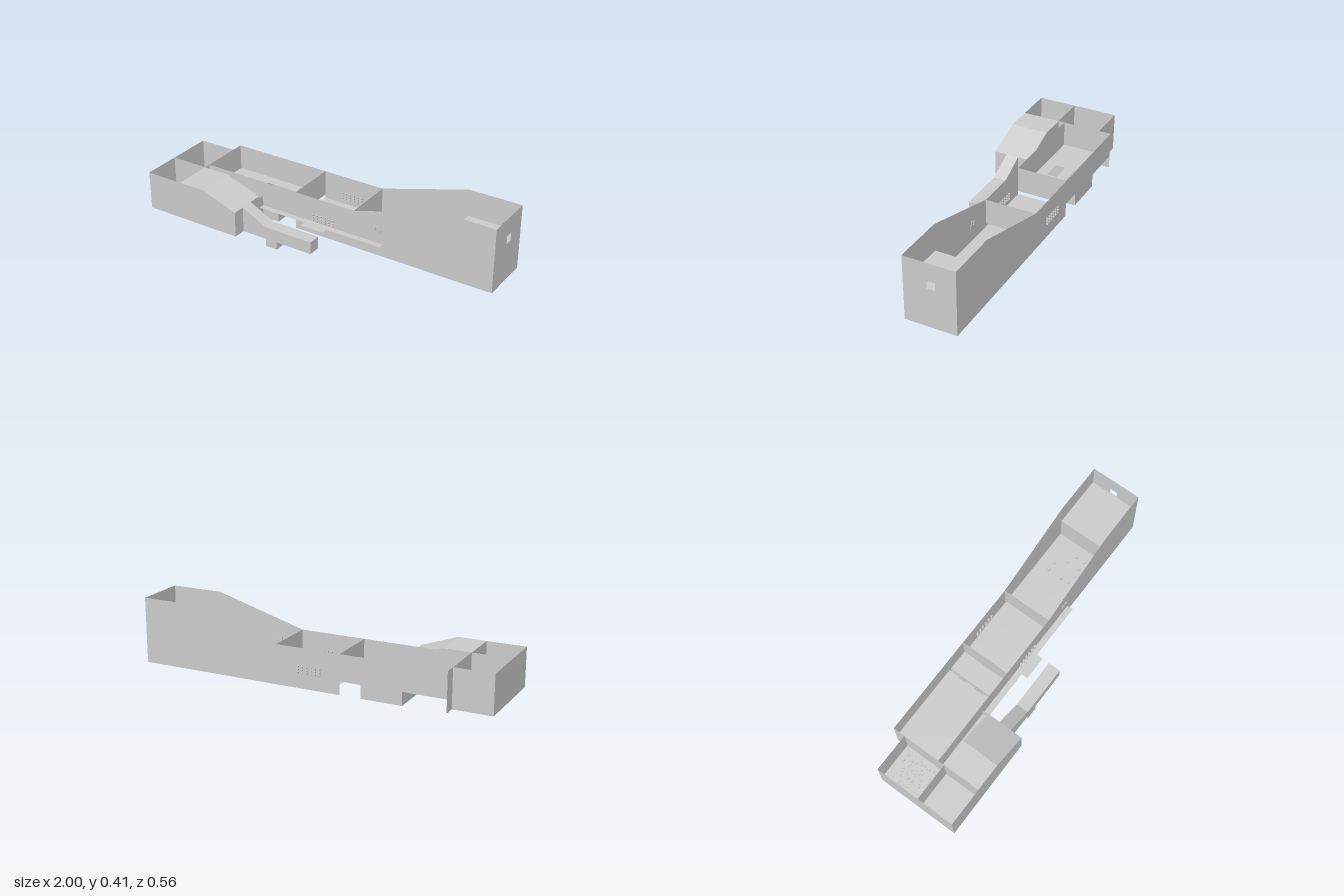
import * as THREE from 'three';

export function createModel() {
  const root = new THREE.Group();
  const mat = new THREE.MeshStandardMaterial({ color: 0xcccccc, side: THREE.DoubleSide, flatShading: true });
  const add = (name, geo) => {
    const mesh = new THREE.Mesh(geo, mat);
    mesh.name = name;
    root.add(mesh);
    return mesh;
  };
  const shapeOf = pts => new THREE.Shape(pts.map(p => new THREE.Vector2(p[0], p[1])));

  // Thin sheets: upright along x, upright along z, and level
  const sideWall = (name, pts, z) => add(name, new THREE.ShapeGeometry(shapeOf(pts)).translate(0, 0, z));
  const crossWall = (name, x, z0, z1, y0, y1) => {
    const g = new THREE.PlaneGeometry(z1 - z0, y1 - y0).rotateY(Math.PI / 2);
    return add(name, g.translate(x, (y0 + y1) / 2, (z0 + z1) / 2));
  };
  const deck = (name, x0, x1, z0, z1, y0, y1 = y0) => {
    const g = new THREE.BufferGeometry();
    g.setAttribute('position', new THREE.Float32BufferAttribute(
      [x0, y0, z0, x0, y0, z1, x1, y1, z1, x1, y1, z0], 3));
    g.setIndex([0, 1, 2, 0, 2, 3]);
    g.computeVertexNormals();
    return add(name, g);
  };
  const bolt = (x, y, z, sx, sy, sz) => add('bolt', new THREE.BoxGeometry(sx, sy, sz).translate(x, y, z));

  const B = 0.045, T = 0.267, H = 0.415, F = 0.12;
  const zBack = -0.27, zFront = 0.022, zPod = 0.06, zOuter = 0.28;

  // Long hull: two matching side walls with a notched lower edge
  const hull = [[-0.78, T], [-0.78, F], [-0.54, F], [-0.54, B], [-0.31, B], [-0.31, F],
    [-0.19, F], [-0.19, B], [1, B], [1, H], [0.7, H], [0.18, T]];
  sideWall('hullBackWall', hull, zBack);
  sideWall('hullFrontWall', hull, zFront);

  // Tall end wall with a square window
  const end = shapeOf([[-zFront, B], [-zBack, B], [-zBack, H], [-zFront, H]]);
  end.holes.push(new THREE.Path([[0.11, 0.267], [0.11, 0.312], [0.155, 0.312], [0.155, 0.267]]
    .map(p => new THREE.Vector2(p[0], p[1]))));
  add('endWall', new THREE.ShapeGeometry(end).rotateY(Math.PI / 2).translate(1, 0, 0));

  // Hull partitions, floors and the raised shelf
  for (const x of [-0.19, 0.18]) crossWall('partition', x, zBack, zFront, F, T);
  crossWall('rearPartition', -0.78, zBack, zOuter, B, T);
  crossWall('shelfRiser', 0.7, zBack, zFront, 0.1, 0.26);
  deck('shelf', 0.7, 1, zBack, zFront, 0.26);
  deck('hullFloor', -0.19, 0.7, zBack, zFront, 0.1);
  deck('rearFloor', -0.78, -0.54, zBack, zPod, F);
  deck('notchFloor', -0.31, -0.19, zBack, zFront, F);

  // Sunken bay with raised ribs
  deck('bayFloor', -0.54, -0.31, zBack, zFront, B);
  for (const x of [-0.54, -0.31]) crossWall('bayWall', x, zBack, zFront, B, F);
  for (const [z0, z1] of [[zBack, -0.205], [-0.16, -0.1], [-0.04, zFront]])
    deck('bayRib', -0.54, -0.32, z0, z1, F);

  // Rear box with a divider
  const panel = (x0, x1) => [[x0, B], [x1, B], [x1, T], [x0, T]];
  sideWall('rearBoxBackWall', panel(-1, -0.78), -0.2);
  sideWall('rearBoxDivider', panel(-1, -0.78), zPod);
  sideWall('rearBoxFrontWall', panel(-1, -0.78), zOuter);
  crossWall('rearBoxEnd', -1, -0.2, zOuter, B, T);
  deck('rearBoxFloor', -1, -0.78, -0.2, zOuter, 0.085);

  // Side pod with a sloping nose
  const pod = [[-0.78, B], [-0.41, B], [-0.41, 0.192], [-0.62, T], [-0.78, T]];
  for (const z of [zPod, zOuter]) sideWall('podWall', pod, z);
  deck('podTop', -0.78, -0.62, zPod, zOuter, T);
  deck('podSlope', -0.62, -0.41, zPod, zOuter, T, 0.192);
  deck('podFloor', -0.78, -0.41, zPod, zOuter, B);
  crossWall('podNose', -0.41, zPod, zOuter, B, 0.192);
  deck('podBridge', -0.54, -0.41, zFront, zPod, F);
  crossWall('podBridgeEnd', -0.41, zFront, zPod, B, 0.18);

  // Forward arm with a foot below
  const arm = shapeOf([[-0.41, B], [-0.26, B], [-0.26, 0], [-0.19, 0], [-0.19, B],
    [0.03, B], [0.03, 0.117], [-0.26, 0.117], [-0.41, 0.192]]);
  add('arm', new THREE.ExtrudeGeometry(arm, { depth: 0.073, bevelEnabled: false }).translate(0, 0, 0.136));

  // Narrow ledges beside the hull
  deck('ledge', -0.41, 0.36, zFront, 0.057, F);
  deck('ledgeTab', -0.11, 0.03, 0.057, 0.095, F);

  // Small bolts on floors and walls
  let seed = 7;
  const rnd = () => (seed = (seed * 16807) % 2147483647) / 2147483647;
  for (let i = 0; i < 45; i++)
    bolt(-0.98 + rnd() * 0.18, 0.085, -0.18 + rnd() * 0.22, 0.015, 0.012, 0.015);
  for (let i = 0; i < 10; i++)
    bolt(0.48 + (i % 4) * 0.05, 0.1, -0.22 + rnd() * 0.18, 0.015, 0.02, 0.015);
  for (let i = 0; i < 6; i++)
    bolt(-0.57 + i * 0.02, B, 0.14 + rnd() * 0.08, 0.014, 0.01, 0.014);
  for (const z of [zBack, zFront])
    for (let i = 0; i < 18; i++)
      bolt(-0.075 + (i % 6) * 0.025, 0.132 + Math.floor(i / 6) * 0.016, z, 0.008, 0.008, 0.02);
  for (const [x, y] of [[0.31, 0.2], [0.33, 0.21], [0.34, 0.19]])
    bolt(x, y, zFront, 0.014, 0.02, 0.008);

  return root;
}
